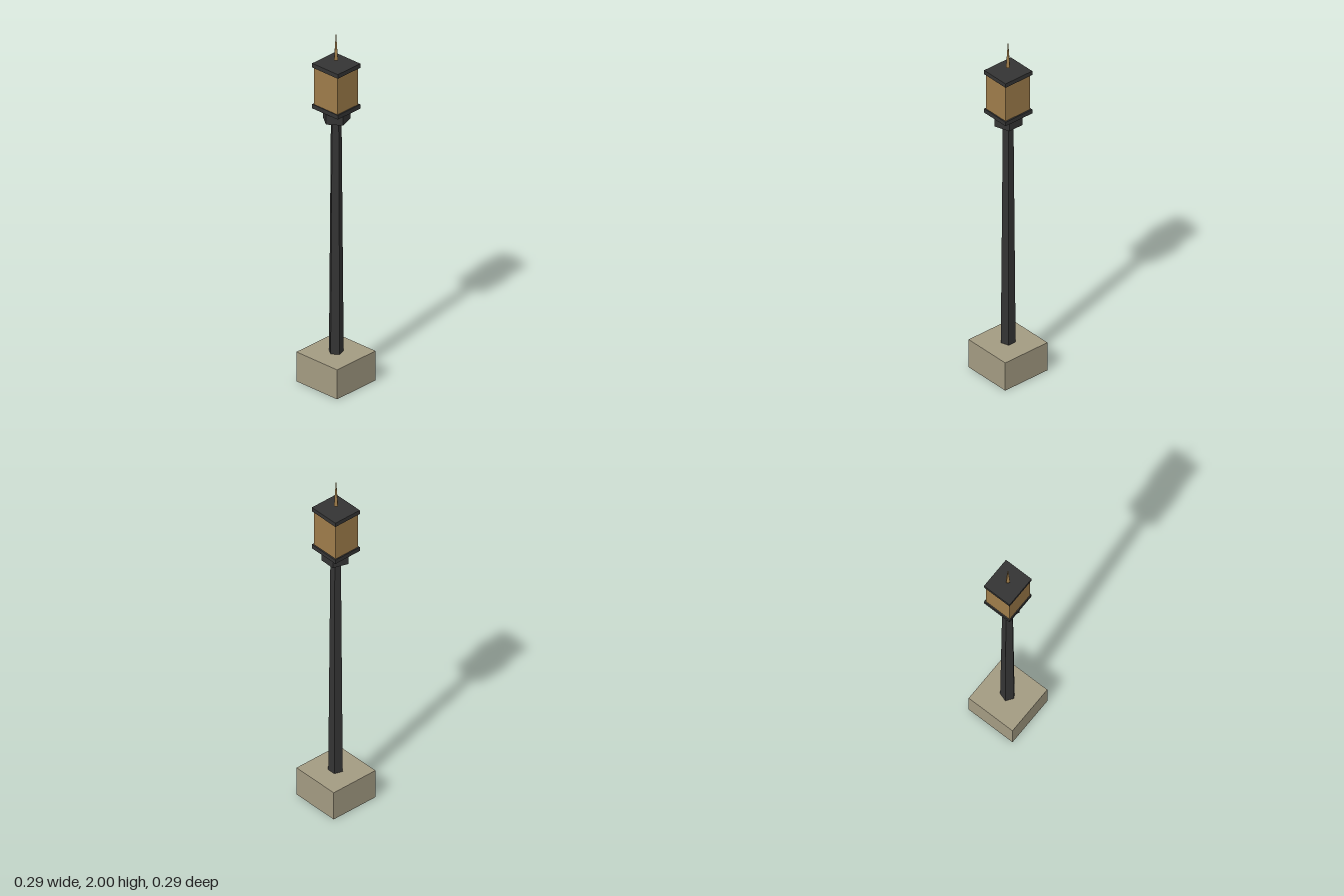
import * as THREE from 'three';

const mat = (name, color, extra = {}) => {
  const m = new THREE.MeshStandardMaterial({ color, ...extra });
  m.name = name;
  return m;
};

export function createModel() {
  const group = new THREE.Group();
  const stone = mat('stone', 0xa39b82, { side: THREE.DoubleSide });
  const iron = mat('dark iron', 0x343434, { flatShading: true, side: THREE.DoubleSide });
  const bronze = mat('amber bronze', 0x9e7c4a, { flatShading: true });

  const add = (name, geometry, material, y, z = 0) => {
    const mesh = new THREE.Mesh(geometry, material);
    mesh.name = name;
    mesh.position.set(0, y, z);
    group.add(mesh);
    return mesh;
  };

  // Box spanning y0..y1; an open one leaves out its underside
  const box = (name, w, d, y0, y1, material, z = 0, open = false) => {
    const g = new THREE.BoxGeometry(w, y1 - y0, d);
    if (open) {
      const index = Array.from(g.index.array);
      index.splice(18, 6);
      g.setIndex(index);
      g.clearGroups();
    }
    return add(name, g, material, (y0 + y1) / 2, z);
  };

  // Faceted prism spanning y0..y1, with a corner facing the front
  const prism = (name, rTop, rBottom, sides, y0, y1, material) =>
    add(name, new THREE.CylinderGeometry(rTop, rBottom, y1 - y0, sides), material, (y0 + y1) / 2);

  // Hollow plinth, five-sided post and collar
  box('plinth', 0.286, 0.286, 0, 0.17, stone, 0, true);
  prism('post', 0.029, 0.04, 5, 0.17, 1.515, iron);
  prism('collar', 0.075, 0.075, 5, 1.51, 1.576, iron);

  // Lantern between two thin plates, the lower one hollow beneath
  box('lanternFloorPlate', 0.181, 0.167, 1.574, 1.598, iron, -0.0015, true);
  box('lanternBody', 0.167, 0.154, 1.58, 1.812, bronze);
  box('lanternCapPlate', 0.181, 0.167, 1.81, 1.834, iron, -0.0015);

  // Spike hovering above the cap
  prism('finial', 0.002, 0.014, 4, 1.857, 2, bronze);

  return group;
}
